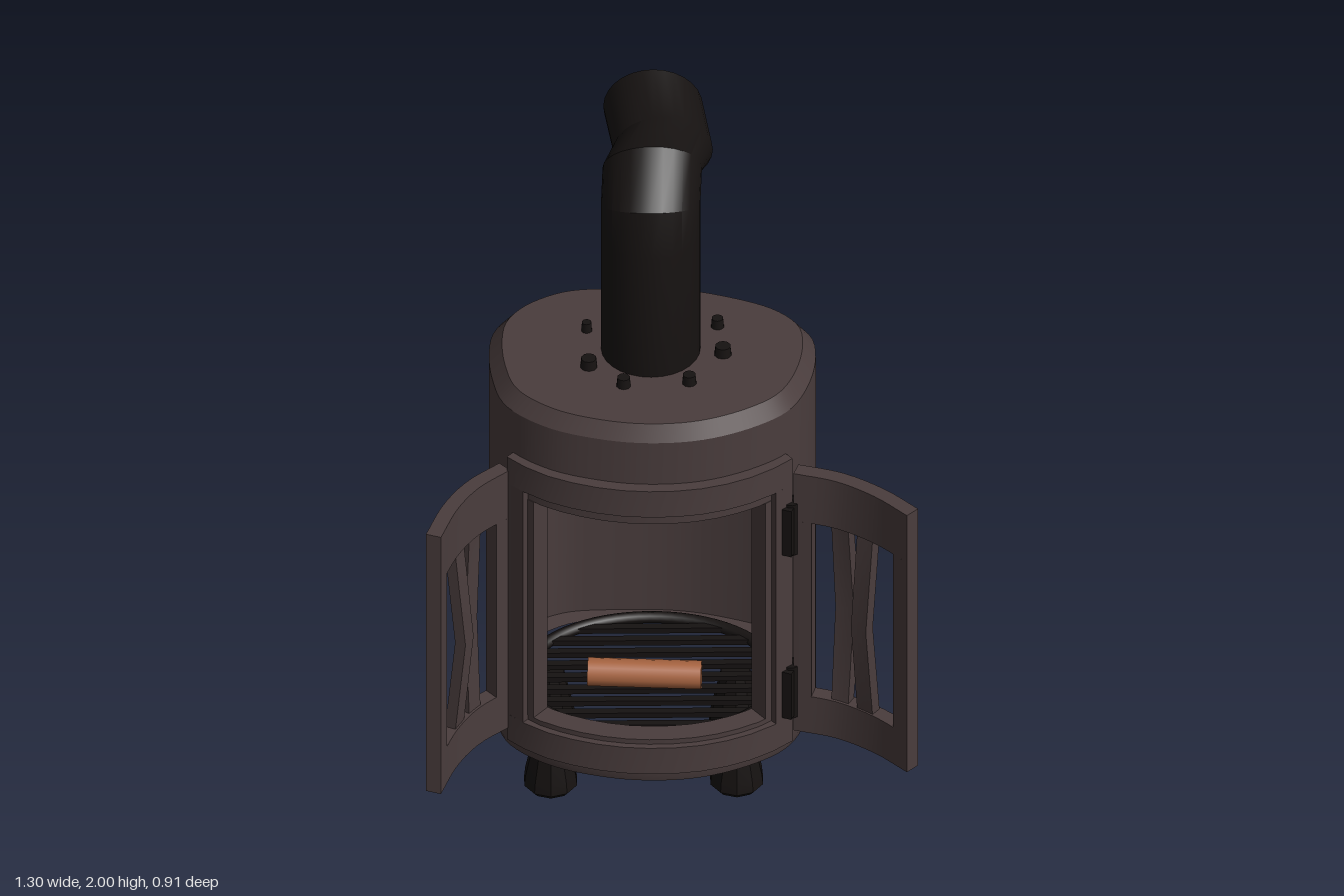
import * as THREE from 'three';
import { toCreasedNormals } from 'three/addons/utils/BufferGeometryUtils.js';

const paint = (color, side = THREE.FrontSide) => {
  const m = new THREE.MeshStandardMaterial({ side });
  m.color.set(color);
  return m;
};
const V = (x, y, z) => new THREE.Vector3(x, y, z);
const lerp = THREE.MathUtils.lerp;

// skin through equal rings of points; skip(row, midpoint) leaves a quad out
function loft(rings, skip = () => false, crease = 0.5) {
  const n = rings[0].length, index = [];
  for (let i = 0; i < rings.length - 1; i++) {
    for (let j = 0; j < n; j++) {
      const k = (j + 1) % n;
      if (skip(i, rings[i][j].clone().lerp(rings[i][k], 0.5))) continue;
      const a = i * n + j, b = i * n + k;
      index.push(a, b, b + n, a, b + n, a + n);
    }
  }
  const g = new THREE.BufferGeometry().setFromPoints(rings.flat());
  g.setIndex(index);
  return toCreasedNormals(g, crease);
}

// box bent along a plan curve; bow pushes its middle height sideways
function bent(curve, u0, u1, y0, y1, d0, d1, bow = 0) {
  const g = new THREE.BoxGeometry(1, 1, 1, 12, 2, 1), p = g.attributes.position;
  for (let i = 0; i < p.count; i++) {
    const u = lerp(u0, u1, p.getX(i) + 0.5), y = p.getY(i);
    const c = curve.getPointAt(u), t = curve.getTangentAt(u);
    const d = lerp(d0, d1, p.getZ(i) + 0.5) + bow * (1 - 2 * Math.abs(y));
    p.setXYZ(i, c.x - t.z * d, lerp(y0, y1, y + 0.5), c.z + t.x * d);
  }
  return toCreasedNormals(g, 0.5);
}

const planCurve = (pts, closed = false) =>
  new THREE.CatmullRomCurve3(pts.map(([x, z]) => V(x, 0, z)), closed);

export function createModel() {
  const model = new THREE.Group();
  const steel = paint(0x4a3d3d), iron = paint(0x161211);
  const pipeIron = paint(0x161211, THREE.DoubleSide), wood = paint(0xa86440);
  const add = (name, geo, mat, parent = model) => {
    const m = new THREE.Mesh(geo, mat);
    m.name = name;
    parent.add(m);
    return m;
  };
  const group = (name) => {
    const g = new THREE.Group();
    g.name = name;
    model.add(g);
    return g;
  };

  // egg-shaped plan of the stove, counter-clockwise from the back
  const outline = planCurve([
    [-0.17, -0.362], [-0.295, -0.348], [-0.405, -0.285], [-0.46, -0.21], [-0.475, -0.13],
    [-0.468, 0], [-0.434, 0.115], [-0.33, 0.21], [-0.19, 0.265], [-0.055, 0.285],
    [0.09, 0.27], [0.23, 0.21], [0.315, 0.14], [0.368, 0.02], [0.385, -0.11],
    [0.37, -0.185], [0.3, -0.26], [0.14, -0.33], [0.02, -0.357],
  ], true).getSpacedPoints(96).slice(0, 96);
  const ring = ([s, y]) => outline.map((p) => V(-0.045 + (p.x + 0.045) * s, y, -0.03 + (p.z + 0.03) * s));
  const inOpening = (m) => m.z > 0.08 && m.x > -0.4 && m.x < 0.28;

  // outer shell and firebox lining, both open at the front
  add('bodyShell', loft([
    [0.001, 0.18], [0.93, 0.18], [0.98, 0.19], [1, 0.215], [1, 0.29],
    [1, 1.09], [1, 1.305], [0.92, 1.35], [0.001, 1.35],
  ].map(ring), (i, m) => i === 4 && inOpening(m)), steel);
  add('fireboxLining', loft([
    [0.001, 1.09], [0.93, 1.09], [0.93, 0.29], [0.8, 0.29],
  ].map(ring), (i, m) => i === 1 && inOpening(m)), steel);

  // raised frame round the opening with a recessed lip
  const frame = group('doorFrame');
  const front = planCurve([
    [-0.41, 0.135], [-0.33, 0.205], [-0.19, 0.265], [-0.055, 0.285], [0.09, 0.27], [0.22, 0.215], [0.3, 0.15],
  ]);
  const surround = (name, u, w, y0, y1, h, d0, d1) => {
    add(name + 'Bottom', bent(front, u, 1 - u, y0, y0 + h, d0, d1), steel, frame);
    add(name + 'Top', bent(front, u, 1 - u, y1 - h, y1, d0, d1), steel, frame);
    add(name + 'Right', bent(front, u, u + w, y0 + h, y1 - h, d0, d1), steel, frame);
    add(name + 'Left', bent(front, 1 - u - w, 1 - u, y0 + h, y1 - h, d0, d1), steel, frame);
  };
  surround('frame', 0, 0.075, 0.24, 1.17, 0.085, -0.035, 0.033);
  surround('frameLip', 0.05, 0.05, 0.29, 1.1, 0.05, -0.045, 0.015);

  // two open doors, each with a slotted grille
  const doors = [
    ['rightDoor', [[-0.437, 0.143], [-0.52, 0.22], [-0.58, 0.315], [-0.628, 0.445]], [0.012, -0.03]],
    ['leftDoor', [[0.33, 0.162], [0.445, 0.2], [0.55, 0.27], [0.635, 0.355]], [-0.03, 0.03]],
  ];
  for (const [name, pts, bows] of doors) {
    const door = group(name), c = planCurve(pts), t = 0.021;
    add('bottomRail', bent(c, 0, 1, 0.28, 0.4, -t, t), steel, door);
    add('topRail', bent(c, 0, 1, 0.97, 1.125, -t, t), steel, door);
    add('hingeStile', bent(c, 0, 0.13, 0.4, 0.97, -t, t), steel, door);
    add('freeStile', bent(c, 0.86, 1, 0.4, 0.97, -t, t), steel, door);
    add('innerBar', bent(c, 0.28, 0.42, 0.39, 0.98, -0.015, 0.015, bows[0]), steel, door);
    add('outerBar', bent(c, 0.5, 0.64, 0.39, 0.98, -0.015, 0.015, bows[1]), steel, door);
  }

  // hinges: a pin with a small leaf
  for (const [x, z, turn] of [[-0.422, 0.14, 0.75], [0.317, 0.172, -0.4]]) {
    for (const y of [0.41, 0.945]) {
      const hinge = group('hinge');
      hinge.position.set(x, y, z);
      hinge.rotation.y = turn;
      add('hingePin', new THREE.CylinderGeometry(0.022, 0.022, 0.165, 10), iron, hinge);
      add('hingeLeaf', new THREE.BoxGeometry(0.03, 0.15, 0.07), iron, hinge);
    }
  }

  // flue pipe: centre of each ring, then its half-height vector (y, z)
  const flue = [
    [-0.05, 1.33, -0.075, 0, 0.13], [-0.05, 1.74, -0.07, 0, 0.132], [-0.05, 1.815, -0.085, 0.055, 0.115],
    [-0.045, 1.88, -0.16, 0.105, 0.05], [-0.015, 1.84, -0.29, 0.122, 0.02], [-0.04, 1.87, -0.4425, 0.13, 0.013],
  ].map(([x, y, z, dy, dz]) => Array.from({ length: 28 }, (_, k) => {
    const a = (k / 28) * Math.PI * 2, c = Math.cos(a);
    return V(x + 0.131 * Math.sin(a), y + dy * c, z + dz * c);
  }));
  add('fluePipe', loft(flue), pipeIron);

  // bolts round the flue
  for (const [x, z, r] of [
    [-0.218, -0.153, 0.015], [-0.214, 0.005, 0.024], [-0.123, 0.09, 0.02], [0.05, 0.08, 0.02],
    [0.14, -0.045, 0.024], [0.127, -0.167, 0.018], [0.03, -0.235, 0.018], [-0.12, -0.22, 0.018],
  ]) {
    add('fluteBolt'.replace('flute', 'flue'), new THREE.CylinderGeometry(r * 0.85, r, 0.035, 10), iron).position.set(x, 1.36, z);
  }

  // flared legs
  const legProfile = [[0, 0], [0.06, 0], [0.073, 0.015], [0.07, 0.045], [0.04, 0.185], [0, 0.185]]
    .map(([r, y]) => new THREE.Vector2(r, y));
  for (const x of [-0.315, 0.175]) {
    for (const z of [0.042, -0.208]) {
      add('leg', toCreasedNormals(new THREE.LatheGeometry(legProfile, 10), 0.3), iron).position.set(x, 0, z);
    }
  }

  // oval fire grate with bars across
  const grate = group('grate');
  grate.position.set(-0.05, 0.3, -0.03);
  const oval = Array.from({ length: 40 }, (_, k) => {
    const a = (k / 40) * Math.PI * 2;
    return V(0.335 * Math.cos(a), 0, 0.262 * Math.sin(a));
  });
  add('grateRing', new THREE.TubeGeometry(new THREE.CatmullRomCurve3(oval, true), 64, 0.016, 8, true), iron, grate);
  for (let i = -4; i <= 4; i++) {
    const z = i * 0.053, w = 2 * 0.335 * Math.sqrt(1 - (z / 0.262) ** 2);
    add('grateBar', new THREE.BoxGeometry(w, 0.016, 0.022), iron, grate).position.z = z;
  }

  // log lying on the grate
  const log = add('log', new THREE.CylinderGeometry(0.038, 0.038, 0.3, 14), wood);
  log.position.set(-0.067, 0.357, 0.03);
  log.rotation.set(0, -0.06, Math.PI / 2);

  return model;
}
